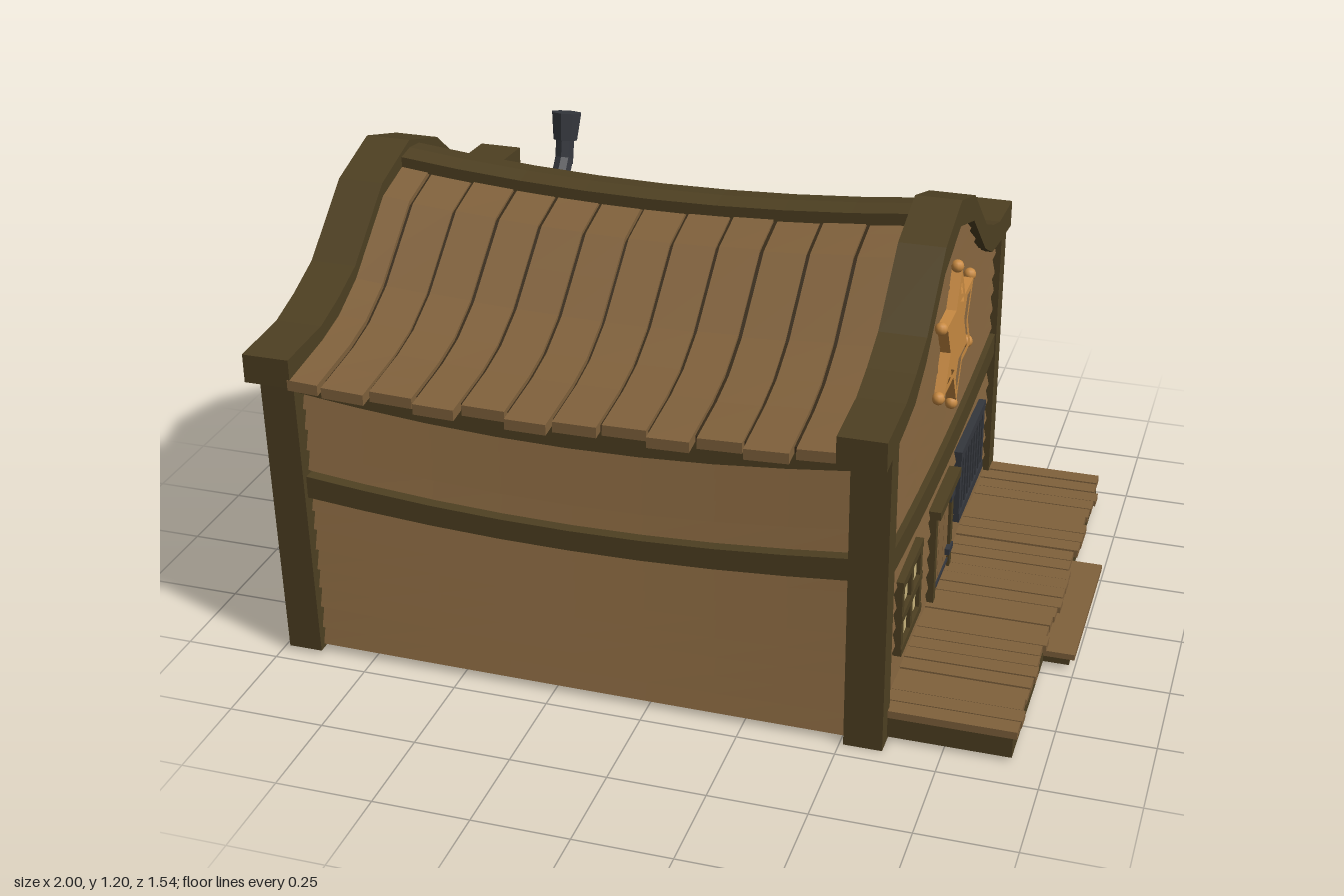
import * as THREE from 'three';

const mat = (name, color) => Object.assign(new THREE.MeshStandardMaterial({ color }), { name });
const wood = mat('plank wood', 0x80613c);
const trim = mat('dark olive timber', 0x4e4022);
const dark = mat('shadow wood', 0x382b19);
const iron = mat('iron', 0x34373d);
const glass = mat('lamplit pane', 0xc9b57d);
const brass = mat('brass', 0xc88a42);

// Roof and gable profiles: [distance from ridge, height]
const ARCH_TOP = [[0, 1.175], [0.18, 1.12], [0.37, 0.965], [0.48, 0.92], [0.58, 0.89], [0.767, 0.88]];
const ARCH_LOW = [[0, 1.105], [0.18, 1.05], [0.37, 0.895], [0.48, 0.84], [0.58, 0.825], [0.767, 0.805]];
const ROOF = [[0, 1.135], [0.18, 1.085], [0.37, 0.93], [0.48, 0.875], [0.58, 0.85], [0.77, 0.825]];

const V = (x, y, z) => new THREE.Vector3(x, y, z);

function lerpTable(table, z) {
  const a = Math.abs(z);
  let i = 0;
  while (i < table.length - 2 && a > table[i + 1][0]) i++;
  const [z0, y0] = table[i], [z1, y1] = table[i + 1];
  return y0 + (y1 - y0) * (a - z0) / (z1 - z0);
}

let seed = 7;
const rand = (r) => { seed = (seed * 16807) % 2147483647; return (seed / 2147483647 * 2 - 1) * r; };

// Solid through a row of convex cross-sections, with flat facets and outward faces
function sweep(rings) {
  const tris = [], k = rings[0].length, last = rings[rings.length - 1];
  for (let i = 0; i < rings.length - 1; i++) {
    for (let j = 0; j < k; j++) {
      const n = (j + 1) % k, a = rings[i], b = rings[i + 1];
      tris.push([a[j], a[n], b[n]], [a[j], b[n], b[j]]);
    }
  }
  for (let j = 1; j < k - 1; j++) {
    tris.push([rings[0][0], rings[0][j + 1], rings[0][j]], [last[0], last[j], last[j + 1]]);
  }
  const volume = tris.reduce((s, [a, b, c]) => s + a.dot(b.clone().cross(c)), 0);
  const pts = tris.flatMap(([a, b, c]) => (volume < 0 ? [a, c, b] : [a, b, c]));
  const g = new THREE.BufferGeometry().setFromPoints(pts);
  g.computeVertexNormals();
  return g;
}

function add(parent, name, geometry, material) {
  const m = new THREE.Mesh(geometry, material);
  m.name = name;
  parent.add(m);
  return m;
}

// Box given by its limits
function box(parent, name, material, x0, x1, y0, y1, z0, z1) {
  const m = add(parent, name, new THREE.BoxGeometry(x1 - x0, y1 - y0, z1 - z0), material);
  m.position.set((x0 + x1) / 2, (y0 + y1) / 2, (z0 + z1) / 2);
  return m;
}

function group(parent, name) {
  const g = new THREE.Group();
  g.name = name;
  parent.add(g);
  return g;
}

const sagX = (x) => Math.max(0, 1 - ((x + 0.19) / 0.72) ** 2);
const sideMap = (s) => (x, y, d) => V(x, y - 0.05 * Math.min(1, y / 0.6) * sagX(x), s * d);
const gableSag = (y) => 0.032 * Math.max(0, y < 0.5 ? y / 0.5 : 1 - (y - 0.5) / 0.5);
const endMap = (toX) => (z, y, d) => V(toX(d), y - gableSag(y) * Math.max(0, 1 - (z / 0.65) ** 2), z);

// Sagging board on a wall: low edge spans +-w0, high edge +-w1 about mid
function board(parent, name, material, map, mid, w0, w1, y0, y1, dIn, dLow, dHigh) {
  const rings = [], n = 8, tilt = material === wood ? rand(0.004) : 0;
  for (let i = 0; i <= n; i++) {
    const t = i / n * 2 - 1, a = mid + t * w0, b = mid + t * w1, dy = t * tilt;
    rings.push([map(a, y0 + dy, dIn), map(a, y0 + dy, dLow), map(b, y1 + dy, dHigh), map(b, y1 + dy, dIn)]);
  }
  add(parent, name, sweep(rings), material);
}

// Strip of roofing that follows the curved profile over the ridge
function roofStrip(parent, name, material, x0, x1, len, lift, thick) {
  const zs = [len, 0.67, 0.58, 0.48, 0.425, 0.37, 0.275, 0.18, 0.09];
  const stations = [...zs, 0, ...zs.map((z) => -z).reverse()];
  const y = (x, z) => lerpTable(ROOF, z) + lift - (0.02 + 0.025 * (1 - Math.abs(z) / 0.77)) * sagX(x);
  add(parent, name, sweep(stations.map((z) => [
    V(x0, y(x0, z), z), V(x1, y(x1, z), z), V(x1, y(x1, z) - thick, z), V(x0, y(x0, z) - thick, z)])), material);
}

function starShape(R, r) {
  const pts = [];
  for (let i = 0; i < 12; i++) {
    const a = i * Math.PI / 6, q = i % 2 ? r : R;
    pts.push(new THREE.Vector2(Math.sin(a) * q, Math.cos(a) * q));
  }
  return new THREE.Shape(pts);
}

export function createModel() {
  const root = new THREE.Group();
  root.name = 'frontierOffice';

  // Dark core behind the boards
  const core = group(root, 'core');
  box(core, 'innerWalls', dark, -0.94, 0.57, 0.015, 0.73, -0.66, 0.66);
  const outline = [...ARCH_LOW.slice(0, 5), [0.66, 0.82]].map(([z, y]) => [z, y + 0.02]);
  const gable = new THREE.Shape([
    new THREE.Vector2(0.66, 0.02), ...outline.slice().reverse().map(([z, y]) => new THREE.Vector2(z, y)),
    ...outline.slice(1).map(([z, y]) => new THREE.Vector2(-z, y)), new THREE.Vector2(-0.66, 0.02)]);
  for (const x of [-0.952, 0.56]) {
    const g = new THREE.ExtrudeGeometry(gable, { depth: 0.018, bevelEnabled: false }).rotateY(Math.PI / 2);
    add(core, 'gableBacking', g, dark).position.x = x;
  }

  // Long walls: boards, middle beam and eave beam
  for (const s of [1, -1]) {
    const wall = group(root, s > 0 ? 'frontWall' : 'backWall'), map = sideMap(s);
    for (let i = 0; i < 13; i++) {
      const y = 0.02 + i * 0.058;
      board(wall, 'wallBoard', wood, map, -0.19, 0.73, 0.73, y, y + 0.053, 0.64, 0.69, 0.672);
    }
    board(wall, 'middleBeam', trim, map, -0.19, 0.73, 0.73, 0.47, 0.53, 0.64, 0.705, 0.705);
    board(wall, 'eaveBeam', trim, map, -0.19, 0.73, 0.73, 0.765, 0.825, 0.64, 0.705, 0.705);
  }

  // Gable walls: boards cut to the arch, and middle beam
  for (const [name, toX] of [['facade', (d) => 0.58 + d], ['rearGable', (d) => -0.955 - d]]) {
    const wall = group(root, name), map = endMap(toX);
    const half = (y) => {
      let w = 0.66;
      while (w > 0.02 && lerpTable(ARCH_LOW, w) + 0.03 < y) w -= 0.005;
      return w;
    };
    for (let i = 0; i < 19; i++) {
      const y = 0.02 + i * 0.058;
      board(wall, 'wallBoard', wood, map, 0, half(y), half(y + 0.053), y, y + 0.053, -0.02, 0.014, 0.003);
    }
    board(wall, 'middleBeam', trim, map, 0, 0.65, 0.65, 0.46, 0.525, -0.02, 0.024, 0.024);
  }

  // Arched gable caps
  for (const [x0, x1] of [[0.49, 0.61], [-1, -0.878]]) {
    const row = [...ARCH_TOP.map((p) => -p[0]).reverse(), ...ARCH_TOP.slice(1).map((p) => p[0])];
    add(root, 'gableArch', sweep(row.map((z) => {
      const t = lerpTable(ARCH_TOP, z), b = lerpTable(ARCH_LOW, z);
      return [V(x0, b, z), V(x1, b, z), V(x1, t, z), V(x0, t, z)];
    })), trim);
  }

  // Corner posts, the rear pair slightly crooked
  const post = (x0, x1, y0, zb, zt) => {
    const ring = (y, z) => [V(x0, y, z - 0.035), V(x1, y, z - 0.035), V(x1, y, z + 0.035), V(x0, y, z + 0.035)];
    add(root, 'cornerPost', sweep([ring(y0, zb), ring(0.84, zt)]), trim);
  };
  post(0.51, 0.608, 0, 0.67, 0.67);
  post(0.51, 0.608, 0, -0.67, -0.67);
  post(-0.98, -0.89, 0.012, 0.672, 0.695);
  post(-0.98, -0.89, 0.012, -0.685, -0.668);

  // Roof
  const roof = group(root, 'roof');
  roofStrip(roof, 'roofUnderlay', dark, -0.9, -0.19, 0.72, -0.014, 0.016);
  roofStrip(roof, 'roofUnderlay', dark, -0.19, 0.52, 0.72, -0.014, 0.016);
  const edges = [-0.89, -0.8, -0.68, -0.56, -0.445, -0.325, -0.21, -0.09, 0.03, 0.145, 0.265, 0.385, 0.5];
  const lengths = [0.768, 0.768, 0.752, 0.77, 0.742, 0.77, 0.752, 0.74, 0.77, 0.742, 0.768, 0.742];
  lengths.forEach((len, i) => roofStrip(roof, 'roofPlank', wood, edges[i] + 0.005, edges[i + 1] - 0.005, len, rand(0.004), 0.028));
  const ridge = [];
  for (let i = 0; i <= 8; i++) {
    const x = -0.9 + i * 0.1775, y = 1.158 - 0.043 * sagX(x);
    ridge.push([V(x, y - 0.04, -0.06), V(x, y - 0.008, -0.06), V(x, y, 0), V(x, y - 0.008, 0.055), V(x, y - 0.04, 0.055)]);
  }
  add(roof, 'ridgeBeam', sweep(ridge), trim);

  // Bent stove pipe
  const chimney = group(root, 'chimney');
  const pipe = (name, a, b, r0, r1) => {
    const dir = b.clone().sub(a), g = new THREE.CylinderGeometry(r1, r0, dir.length(), 8).toNonIndexed();
    g.computeVertexNormals();
    const m = add(chimney, name, g, iron);
    m.position.copy(a).addScaledVector(dir, 0.5);
    m.quaternion.setFromUnitVectors(V(0, 1, 0), dir.normalize());
  };
  pipe('pipeFoot', V(-0.54, 1.0, -0.2), V(-0.54, 1.07, -0.257), 0.026, 0.026);
  pipe('pipe', V(-0.54, 1.055, -0.253), V(-0.54, 1.13, -0.27), 0.026, 0.026);
  pipe('pipeCap', V(-0.54, 1.118, -0.268), V(-0.54, 1.19, -0.285), 0.034, 0.042);

  // Four-pane window
  const win = group(root, 'paneWindow');
  box(win, 'panes', glass, 0.592, 0.598, 0.18, 0.36, 0.315, 0.515);
  for (const z of [0.518, 0.415, 0.312]) box(win, 'upright', trim, 0.585, 0.608, 0.167, 0.372, z - 0.012, z + 0.012);
  for (const y of [0.175, 0.27, 0.365]) box(win, 'crossbar', trim, 0.585, 0.61, y - 0.011, y + 0.011, 0.3, 0.53);

  // Barred window
  const cell = group(root, 'barredWindow');
  box(cell, 'pane', glass, 0.592, 0.598, 0.17, 0.365, -0.5, -0.19);
  for (const y of [0.172, 0.362]) box(cell, 'frame', iron, 0.585, 0.61, y - 0.013, y + 0.013, -0.512, -0.178);
  for (const z of [-0.5, -0.19]) box(cell, 'frame', iron, 0.585, 0.608, 0.165, 0.37, z - 0.012, z + 0.012);
  for (let i = 1; i < 8; i++) {
    const z = -0.5 + i * 0.0388;
    box(cell, 'bar', iron, 0.598, 0.608, 0.18, 0.355, z - 0.009, z + 0.009).rotation.x = rand(0.03);
  }

  // Door
  const door = group(root, 'door');
  for (let i = 0; i < 3; i++) box(door, 'doorPlank', wood, 0.585, 0.6, 0.08, 0.347, -0.073 + i * 0.062, -0.014 + i * 0.062);
  box(door, 'doorBacking', dark, 0.585, 0.597, 0.08, 0.35, -0.08, 0.118);
  for (const z of [0.122, -0.082]) box(door, 'doorPost', trim, 0.585, 0.608, 0.08, 0.35, z - 0.013, z + 0.013);
  box(door, 'lintel', trim, 0.585, 0.622, 0.345, 0.368, -0.11, 0.15);
  for (const y of [0.105, 0.335]) box(door, 'strap', iron, 0.599, 0.604, y - 0.005, y + 0.005, -0.07, 0.11);
  for (const y of [0.142, 0.305]) box(door, 'hinge', iron, 0.6, 0.613, y - 0.009, y + 0.009, -0.088, -0.04);

  // Six-pointed star: plate, raised rim and ball tips
  const star = group(root, 'star');
  star.position.set(0.592, 0.805, 0);
  const rim = starShape(0.188, 0.108);
  rim.holes.push(starShape(0.152, 0.088));
  const extrude = (shape, depth) => new THREE.ExtrudeGeometry(shape, { depth, bevelEnabled: false }).rotateY(Math.PI / 2);
  add(star, 'starPlate', extrude(starShape(0.184, 0.106), 0.018), brass);
  add(star, 'starRim', extrude(rim, 0.027), brass);
  for (let i = 0; i < 6; i++) {
    const a = i * Math.PI / 3;
    const ball = add(star, 'starTip', new THREE.SphereGeometry(0.017, 10, 8), brass);
    ball.position.set(0.014, Math.cos(a) * 0.192, Math.sin(a) * 0.204);
  }

  // Porch deck and step
  const porch = group(root, 'porch');
  box(porch, 'porchBase', trim, 0.57, 0.918, 0.01, 0.07, -0.69, 0.655);
  for (let i = 0; i < 27; i++) {
    const z = -0.693 + i * 0.05, lift = rand(0.003);
    box(porch, 'deckPlank', wood, 0.59, 0.928 + rand(0.007), 0.065, 0.084 + lift, z + 0.0015, z + 0.0485);
  }
  box(porch, 'stepBase', trim, 0.91, 0.985, 0.01, 0.036, -0.235, 0.21);
  box(porch, 'stepTread', wood, 0.915, 1, 0.034, 0.05, -0.25, 0.222);
  return root;
}
